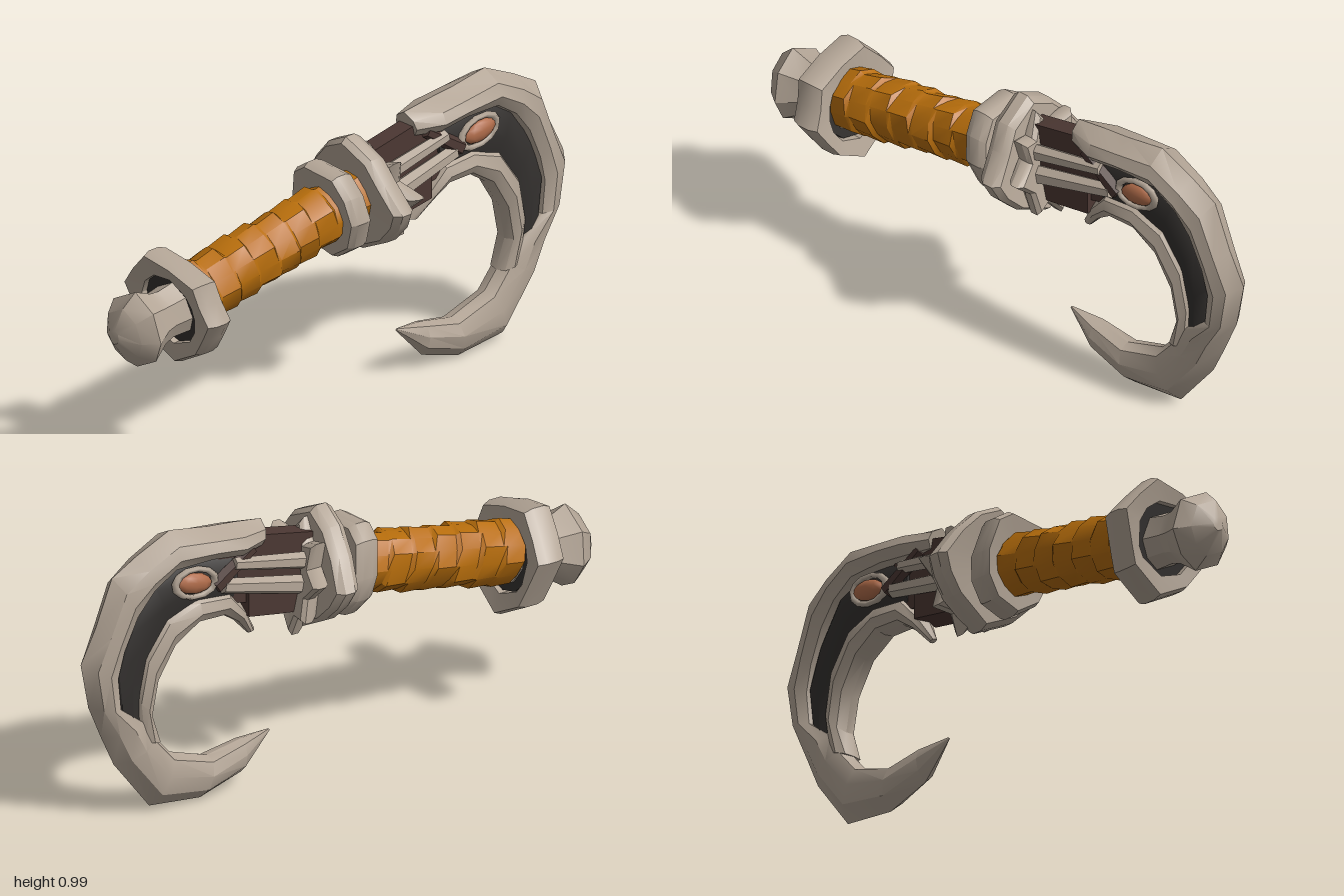
import * as THREE from 'three';
import { toCreasedNormals } from 'three/addons/utils/BufferGeometryUtils.js';

const mat = (name, color) => Object.assign(new THREE.MeshStandardMaterial({ color }), { name });
const V = (x, y, z) => new THREE.Vector3(x, y, z);

// Skin through equal-sized closed cross-sections; ends are capped unless the loft loops round.
function loft(sections, loop = false, crease = 0.55) {
  const n = sections[0].length, tris = [];
  const tri = (a, b, c) => tris.push(a, b, c);
  const count = loop ? sections.length : sections.length - 1;
  for (let i = 0; i < count; i++) {
    const a = sections[i], b = sections[(i + 1) % sections.length];
    for (let j = 0; j < n; j++) {
      const k = (j + 1) % n;
      tri(a[j], b[j], b[k]);
      tri(a[j], b[k], a[k]);
    }
  }
  if (!loop) {
    const cap = (s, flip) => {
      const c = s.reduce((m, p) => m.add(p), V(0, 0, 0)).divideScalar(n);
      for (let j = 0; j < n; j++) {
        const k = (j + 1) % n;
        flip ? tri(c, s[k], s[j]) : tri(c, s[j], s[k]);
      }
    };
    cap(sections[0], false);
    cap(sections[sections.length - 1], true);
  }
  // Turn the faces outward
  let volume = 0;
  for (let i = 0; i < tris.length; i += 3) volume += tris[i].dot(V(0, 0, 0).crossVectors(tris[i + 1], tris[i + 2]));
  if (volume < 0) tris.reverse();
  const g = new THREE.BufferGeometry().setFromPoints(tris);
  return toCreasedNormals(g, crease);
}

// Curved bone: each station is [outer z, outer y, inner z, inner y, half width]
function blade(stations) {
  const profile = [[0, 0], [0.28, 0.8], [0.62, 1], [0.92, 0.7], [1, 0], [0.92, -0.7], [0.62, -1], [0.28, -0.8]];
  return loft(stations.map(([oz, oy, iz, iy, w]) =>
    profile.map(([t, s]) => V(s * w, oy + (iy - oy) * t, oz + (iz - oz) * t))));
}

// Uneven collar round the handle: outline of [x, y], leaning with the handle
function collar(cz, cy, hole, thick, outline, flare = 0) {
  const section = [[1, 0.22], [0.86, 0.5], [0, 0.42], [0, -0.42], [0.86, -0.5], [1, -0.22]];
  return loft(outline.map(([x, y]) => {
    const r = Math.hypot(x, y - cy), c = x / r, s = (y - cy) / r;
    return section.map(([t, d]) => {
      const q = hole + (r - hole) * t;
      return V(c * q, cy + s * q, cz + s * q * 0.18 + d * thick - flare * Math.abs(c * q));
    });
  }), true);
}

// Tapering rod between two points
function rod(a, b, ra, rb, sides = 6) {
  const g = new THREE.CylinderGeometry(rb, ra, a.distanceTo(b), sides);
  g.applyQuaternion(new THREE.Quaternion().setFromUnitVectors(V(0, 1, 0), b.clone().sub(a).normalize()));
  g.translate((a.x + b.x) / 2, (a.y + b.y) / 2, (a.z + b.z) / 2);
  return toCreasedNormals(g, 0.5);
}

export function createModel() {
  const group = new THREE.Group();
  const bone = mat('bone', 0xb3a596);
  const wrap = mat('leather wrap', 0xb86e0c);
  const core = mat('dark brown core', 0x4c3833);
  const dark = mat('dark recess', 0x33302e);
  const eye = mat('copper eye', 0xb06c4a);
  const add = (name, geometry, material) => {
    const m = new THREE.Mesh(geometry, material);
    m.name = name;
    group.add(m);
  };

  // Faceted pommel: [z, centre y, size]
  const knob = [[0.02, 0.675], [-0.09, 0.616], [-0.115, 0.505], [-0.07, 0.43], [0, 0.395], [0.095, 0.445], [0.127, 0.52], [0.1, 0.62]];
  add('pommel', loft([[0.68, 0.565, 0.75], [0.8, 0.55, 0.66], [0.84, 0.545, 0.72], [0.91, 0.535, 1], [0.96, 0.53, 0.7], [1, 0.53, 0.18]]
    .map(([z, cy, k]) => knob.map(([x, y]) => V(x * k, cy + (y - 0.535) * k, z + (y - 0.535) * 0.1 * (z < 0.99 ? 1 : 0))))), bone);

  // Overlapping wrapped bands along the grip
  const bands = 9, sides = 12, rings = [];
  for (let i = 0; i < bands; i++) {
    for (const t of [0, 0.85]) {
      const u = (i + t) / bands, z0 = 0.69 - 0.8 * u;
      rings.push(Array.from({ length: sides }, (_, j) => {
        const a = j / sides * Math.PI * 2;
        const r = 0.104 - 0.012 * u + (t ? 0.005 : -0.003) + 0.004 * Math.sin(j * 2.4 + i * 1.9);
        const z = z0 + 0.018 * Math.sin(a + 0.6);
        return V(r * Math.cos(a), 0.705 - 0.19 * z + r * Math.sin(a) * 1.04, z + r * Math.sin(a) * 0.18);
      }));
    }
  }
  add('gripWrap', loft(rings), wrap);

  // Collars
  add('pommelGuard', collar(0.715, 0.555, 0.125, 0.1, [[-0.206, 0.6], [-0.15, 0.67], [-0.08, 0.745], [0.04, 0.725], [0.156, 0.69],
    [0.175, 0.62], [0.21, 0.555], [0.165, 0.49], [0.116, 0.42], [0, 0.355], [-0.13, 0.425], [-0.153, 0.48]]), bone);
  add('guardLining', rod(V(0, 0.567, 0.69), V(0, 0.558, 0.735), 0.13, 0.13, 12), dark);
  add('gripCollar', collar(0.032, 0.695, 0.085, 0.085, [[-0.15, 0.7], [-0.12, 0.82], [-0.06, 0.86], [0.08, 0.85], [0.13, 0.78],
    [0.15, 0.69], [0.11, 0.59], [0.02, 0.53], [-0.08, 0.555], [-0.135, 0.62]]), bone);
  add('crossGuard', collar(-0.09, 0.72, 0.085, 0.085, [[-0.232, 0.71], [-0.165, 0.81], [-0.09, 0.89], [0, 0.935], [0.11, 0.88],
    [0.16, 0.8], [0.23, 0.71], [0.2, 0.65], [0.13, 0.58], [0, 0.515], [-0.14, 0.59], [-0.2, 0.65]]), bone);
  add('spikedGuard', collar(-0.13, 0.715, 0.05, 0.06, [[-0.2, 0.74], [-0.11, 0.77], [-0.12, 0.86], [-0.04, 0.83], [0.01, 0.9],
    [0.06, 0.83], [0.13, 0.85], [0.11, 0.77], [0.2, 0.73], [0.12, 0.66], [0.1, 0.57], [0.03, 0.58], [-0.03, 0.51],
    [-0.06, 0.58], [-0.13, 0.59], [-0.12, 0.67]], 0.28), bone);

  // Dark shaft joining guard and hook
  const box = (pts, w) => loft(pts.map(([z, lo, hi]) => [V(-w, lo, z), V(w, lo, z), V(w, hi, z), V(-w, hi, z)]));
  add('shaftCore', box([[-0.1, 0.62, 0.86], [-0.3, 0.66, 0.9], [-0.48, 0.7, 0.92]], 0.032), core);
  add('lowerShaft', box([[-0.1, 0.59, 0.68], [-0.25, 0.61, 0.7], [-0.37, 0.63, 0.72]], 0.05), core);

  // Hook: outer ridge running down to the point
  add('hook', blade([[-0.29, 0.945, -0.31, 0.86, 0.05], [-0.4, 0.96, -0.4, 0.855, 0.088], [-0.5, 0.97, -0.52, 0.87, 0.086],
    [-0.65, 0.995, -0.66, 0.865, 0.08], [-0.78, 0.935, -0.74, 0.81, 0.076], [-0.877, 0.88, -0.8, 0.73, 0.07],
    [-0.94, 0.72, -0.85, 0.62, 0.065], [-1, 0.6, -0.87, 0.53, 0.061], [-0.97, 0.44, -0.86, 0.42, 0.06],
    [-0.92, 0.32, -0.76, 0.35, 0.058], [-0.87, 0.21, -0.72, 0.28, 0.058], [-0.73, 0.027, -0.65, 0.2, 0.058],
    [-0.53, 0.005, -0.5, 0.15, 0.056], [-0.37, 0.055, -0.37, 0.175, 0.042], [-0.255, 0.175, -0.26, 0.182, 0.003]]), bone);

  // Inner rim with a hanging tooth
  add('innerRim', blade([[-0.315, 0.555, -0.345, 0.55, 0.01], [-0.36, 0.65, -0.4, 0.61, 0.045], [-0.43, 0.74, -0.46, 0.65, 0.06],
    [-0.56, 0.755, -0.56, 0.652, 0.062], [-0.69, 0.72, -0.65, 0.59, 0.06], [-0.78, 0.6, -0.715, 0.48, 0.058],
    [-0.81, 0.45, -0.738, 0.36, 0.056], [-0.8, 0.29, -0.7, 0.26, 0.05]]), bone);

  // Dark recess between ridge and rim
  add('recess', blade([[-0.4, 0.9, -0.42, 0.69, 0.045], [-0.6, 0.92, -0.57, 0.71, 0.048], [-0.75, 0.87, -0.67, 0.67, 0.048],
    [-0.85, 0.72, -0.74, 0.57, 0.046], [-0.91, 0.58, -0.77, 0.45, 0.045], [-0.88, 0.38, -0.78, 0.33, 0.042]]), dark);

  // Side details, mirrored
  for (const s of [1, -1]) {
    const side = s > 0 ? 'left' : 'right';
    add(side + 'UpperFinger', rod(V(s * 0.06, 0.78, -0.14), V(s * 0.05, 0.835, -0.43), 0.03, 0.022), bone);
    add(side + 'MiddleFinger', rod(V(s * 0.065, 0.695, -0.14), V(s * 0.045, 0.765, -0.47), 0.034, 0.026), bone);
    add(side + 'Cheek', rod(V(s * 0.04, 0.87, -0.35), V(s * 0.04, 0.77, -0.5), 0.02, 0.03), core);
    const ball = new THREE.SphereGeometry(1, 10, 7).scale(0.022, 0.036, 0.07).rotateX(0.2).translate(s * 0.047, 0.805, -0.585);
    add(side + 'Eye', ball, eye);
    const socket = new THREE.TorusGeometry(1, 0.2, 5, 12).scale(0.08, 0.05, 0.06).rotateY(Math.PI / 2).rotateX(0.2).translate(s * 0.047, 0.805, -0.58);
    add(side + 'EyeSocket', socket, bone);
  }
  return group;
}
